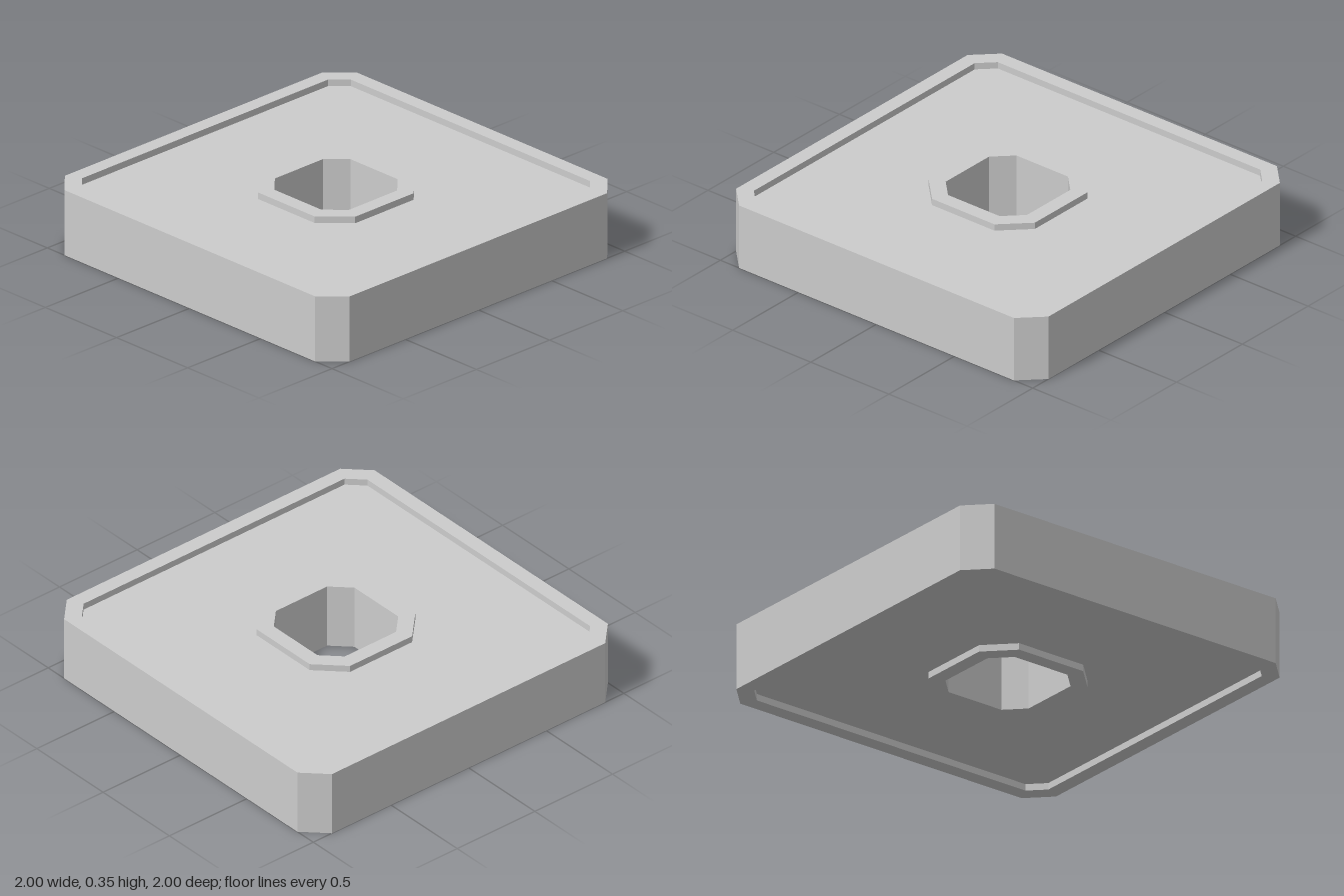
import * as THREE from 'three';

const HEIGHT = 0.35;
const RECESS = 0.035;
const LOW = RECESS, HIGH = HEIGHT - RECESS;

// Square outlines with cut corners: [half width, half length of the straight edge]
const OUTER = [1, 0.88];
const RIM_INNER = [0.92, 0.84];
const COLLAR = [0.34, 0.2];
const HOLE = [0.26, 0.165];

// Eight corners of an outline at height y, running from +x towards +z
function ring([h, e], y) {
  return [[h, -e], [h, e], [e, h], [-e, h], [-h, e], [-h, -e], [-e, -h], [e, -h]]
    .map(([x, z]) => [x, y, z]);
}

// Join successive rings with flat quads
function loft(name, rings) {
  const positions = [];
  for (let r = 0; r < rings.length - 1; r++) {
    const a = rings[r], b = rings[r + 1];
    for (let i = 0; i < 8; i++) {
      const j = (i + 1) % 8;
      for (const p of [a[i], a[j], b[i], a[j], b[j], b[i]]) positions.push(...p);
    }
  }
  const geometry = new THREE.BufferGeometry();
  geometry.setAttribute('position', new THREE.Float32BufferAttribute(positions, 3));
  geometry.computeVertexNormals();
  const material = new THREE.MeshStandardMaterial({ color: 0xcccccc, flatShading: true });
  const mesh = new THREE.Mesh(geometry, material);
  mesh.name = name;
  return mesh;
}

export function createModel() {
  const model = new THREE.Group();
  model.name = 'squareNut';

  // Raised outer rim with the side walls
  model.add(loft('rim', [
    ring(RIM_INNER, HIGH), ring(RIM_INNER, HEIGHT), ring(OUTER, HEIGHT),
    ring(OUTER, 0), ring(RIM_INNER, 0), ring(RIM_INNER, LOW),
  ]));

  // Sunken faces on both sides
  model.add(loft('topPanel', [ring(COLLAR, HIGH), ring(RIM_INNER, HIGH)]));
  model.add(loft('bottomPanel', [ring(RIM_INNER, LOW), ring(COLLAR, LOW)]));

  // Raised collar lining the through hole
  model.add(loft('collar', [
    ring(COLLAR, LOW), ring(COLLAR, 0), ring(HOLE, 0),
    ring(HOLE, HEIGHT), ring(COLLAR, HEIGHT), ring(COLLAR, HIGH),
  ]));

  return model;
}
